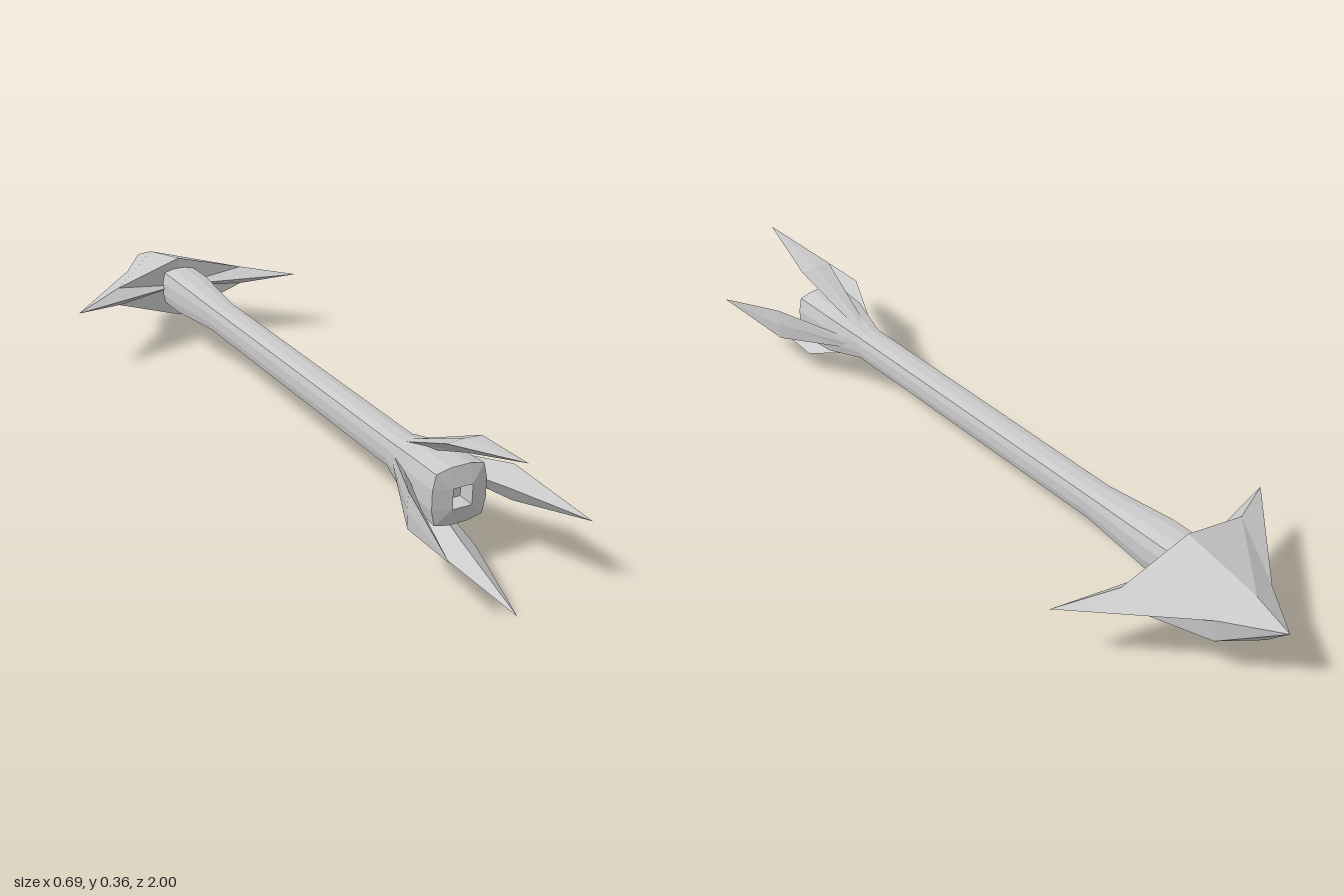
import * as THREE from 'three';

const AXIS_Y = 0.18;

// Flat-shaded mesh from corner triples
function facetMesh(name, triangles) {
  const geometry = new THREE.BufferGeometry();
  geometry.setAttribute('position', new THREE.Float32BufferAttribute(triangles.flat(2), 3));
  geometry.computeVertexNormals();
  const mesh = new THREE.Mesh(geometry, new THREE.MeshStandardMaterial({ color: 0xcccccc, flatShading: true }));
  mesh.name = name;
  return mesh;
}

// Skin between cross-sections listed along +z, corners counter-clockwise
function loft(rings) {
  const triangles = [];
  for (let r = 0; r < rings.length - 1; r++) {
    const a = rings[r], b = rings[r + 1], n = a.length;
    for (let i = 0; i < n; i++) {
      const j = (i + 1) % n;
      triangles.push([a[i], a[j], b[j]], [a[i], b[j], b[i]]);
    }
  }
  // Drop collapsed triangles
  const same = (p, q) => p.every((v, k) => v === q[k]);
  return triangles.filter(([p, q, s]) => !same(p, q) && !same(q, s) && !same(p, s));
}

// Repeats a corner triple in the four quadrants
function fourFold(corner, z) {
  const ring = [];
  for (let q = 0; q < 4; q++) {
    for (const [x, y] of corner) {
      const p = [[x, y], [-y, x], [-x, -y], [y, -x]][q];
      ring.push([p[0], p[1], z]);
    }
  }
  return ring;
}

// Rounded-square shaft with flared nock and square socket in its end
function createShaft() {
  const section = (r, z) => fourFold([[r, r * 0.35], [r * 0.88, r * 0.88], [r * 0.35, r]], z);
  const square = (h, z) => fourFold([[h, h], [h, h], [h, h]], z);
  return facetMesh('shaft', loft([
    section(0, -0.72),
    section(0.052, -0.72),
    section(0.052, -0.6),
    section(0.037, -0.4),
    section(0.037, 0.53),
    section(0.064, 0.65),
    section(0.07, 0.772),
    square(0.025, 0.785),
    square(0.025, 0.74),
    square(0, 0.74),
  ]));
}

// Diamond-section fin that leans away from the shaft to a point
function createFin() {
  const ring = (half, outer, edge, inner, z, innerZ) =>
    [[half, edge, z], [0, outer, z], [-half, edge, z], [0, inner, innerZ]];
  return facetMesh('fin', loft([
    ring(0, 0.03, 0.03, 0.03, 0.53, 0.53),
    ring(0.015, 0.04, 0.037, 0.025, 0.56, 0.58),
    ring(0.045, 0.138, 0.135, 0.108, 0.78, 0.79),
    ring(0, 0.178, 0.178, 0.178, 1, 1),
  ]));
}

// Broad barbed head, one half mirrored across x
function createHead() {
  const tip = [0, 0, -1], crest = [0, 0.04, -0.9], chin = [0, -0.06, -0.94];
  const topBack = [0, 0.083, -0.69], lowBack = [0, -0.094, -0.69], centre = [0, 0, -0.69];
  const cheek = [0.09, 0, -0.87], lowCheek = [0.09, -0.06, -0.87];
  const barb = [0.343, 0, -0.61], barbTop = [0.195, 0.027, -0.68], barbLow = [0.195, -0.025, -0.68];
  const half = [
    // upper side
    [tip, crest, cheek], [crest, topBack, barbTop], [crest, barbTop, cheek], [cheek, barbTop, barb],
    // front and lower side
    [tip, cheek, lowCheek], [tip, lowCheek, chin], [cheek, barb, barbLow],
    [cheek, barbLow, lowCheek], [lowCheek, barbLow, lowBack], [lowCheek, lowBack, chin],
    // rear side
    [topBack, centre, barbTop], [barbTop, centre, barb], [barb, centre, barbLow], [barbLow, centre, lowBack],
  ];
  const mirrored = half.map(t => t.map(([x, y, z]) => [-x, y, z]).reverse());
  return facetMesh('head', [...half, ...mirrored]);
}

export function createModel() {
  const group = new THREE.Group();
  group.name = 'arrow';
  const fins = new THREE.Group();
  fins.name = 'fins';
  for (let i = 0; i < 4; i++) {
    const fin = createFin();
    fin.rotation.z = i * Math.PI / 2;
    fins.add(fin);
  }
  const body = new THREE.Group();
  body.name = 'arrowBody';
  body.position.y = AXIS_Y;
  body.add(createShaft(), fins, createHead());
  group.add(body);
  return group;
}
